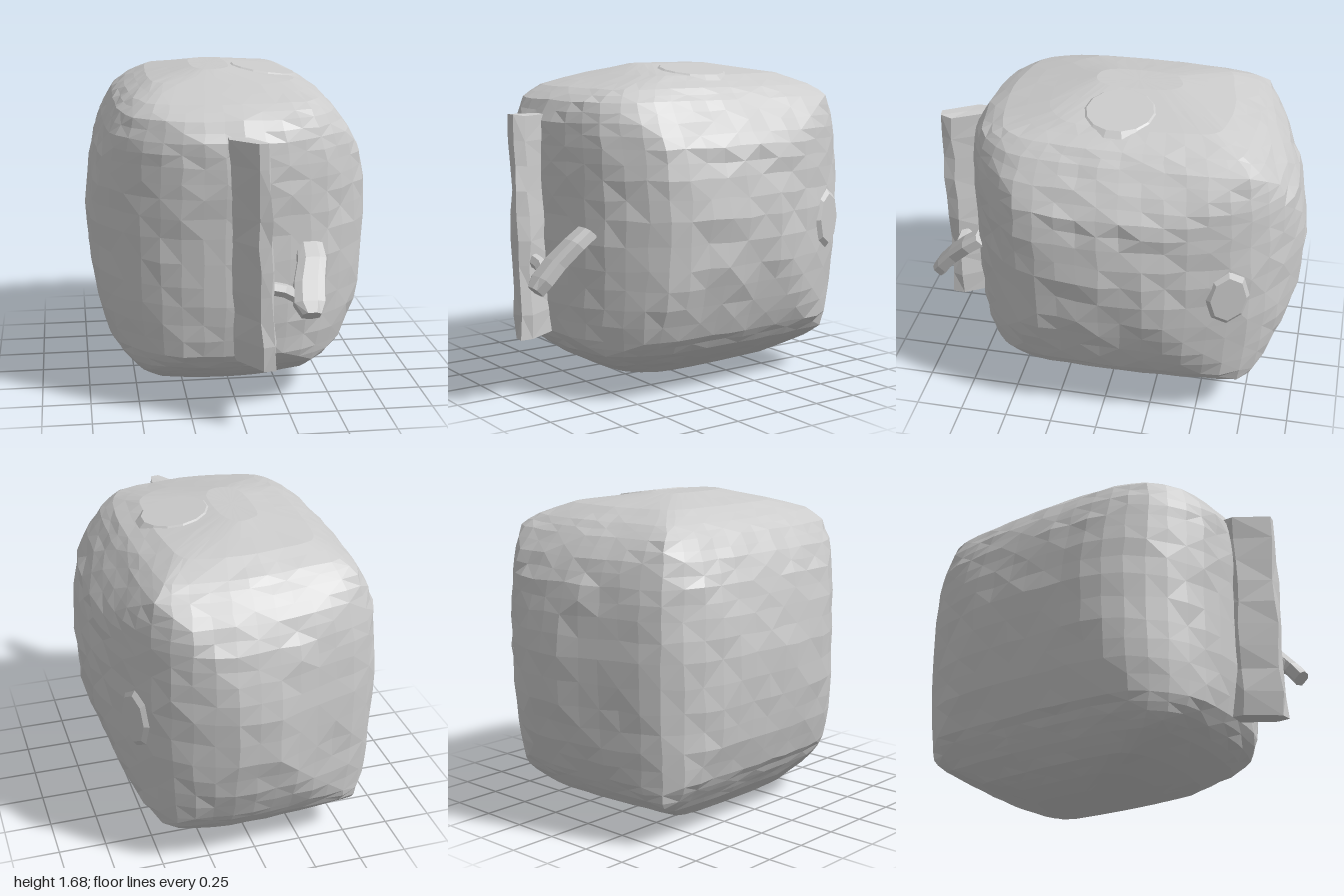
import * as THREE from 'three';

const material = new THREE.MeshStandardMaterial({ color: 0xcccccc, flatShading: true });
const { mapLinear, clamp, lerp, smoothstep } = THREE.MathUtils;

// Small repeatable noise in -1..1
const noise = (n) => {
  const s = Math.sin(n * 12.9898 + 4.1) * 43758.5453;
  return 2 * (s - Math.floor(s)) - 1;
};

// Skin a stack of closed rings of [x, y, z] and cap both ends
function loft(rings) {
  const n = rings[0].length, last = rings.length - 1;
  const pos = rings.flat(2), index = [];
  for (let i = 0; i < last; i++) {
    for (let j = 0; j < n; j++) {
      const k = (j + 1) % n;
      const a = i * n + j, b = i * n + k, c = a + n, d = b + n;
      if ((i + j) % 2) index.push(a, c, d, a, d, b);
      else index.push(a, c, b, b, c, d);
    }
  }
  for (const i of [0, last]) {
    const centre = pos.length / 3;
    for (let axis = 0; axis < 3; axis++) {
      pos.push(rings[i].reduce((sum, p) => sum + p[axis], 0) / n);
    }
    for (let j = 0; j < n; j++) {
      const a = i * n + j, b = i * n + (j + 1) % n;
      if (i === 0) index.push(centre, a, b);
      else index.push(centre, b, a);
    }
  }
  const geometry = new THREE.BufferGeometry();
  geometry.setAttribute('position', new THREE.Float32BufferAttribute(pos, 3));
  geometry.setIndex(index);
  geometry.computeVertexNormals();
  return geometry;
}

// How boxy the body is at outline point p and height y: fullest at the back corners
function fullness(p, y) {
  const back = smoothstep(-p.z, 0, 0.6), plusX = smoothstep(p.x, -0.3, 0.4);
  const lower = lerp(0.47, lerp(0.8, 0.7, plusX), back);
  const upper = lerp(0.42, lerp(0.52, 0.76, plusX), back);
  return lerp(lower, upper, smoothstep(y, 0.8, 1.4));
}

function bodyGeometry() {
  // Widest horizontal outline as [x, z], from the pointed back round past +x
  const outline = [
    [0.06, -1], [0.16, -0.99], [0.42, -0.87], [0.56, -0.73], [0.63, -0.57], [0.7, -0.35],
    [0.735, -0.08], [0.72, 0.2], [0.68, 0.42], [0.56, 0.56], [0.42, 0.68], [0.2, 0.76], [0, 0.79],
    [-0.18, 0.77], [-0.36, 0.72], [-0.52, 0.62], [-0.63, 0.49], [-0.7, 0.35], [-0.73, 0.15],
    [-0.735, -0.3], [-0.7, -0.52], [-0.64, -0.7], [-0.55, -0.81], [-0.3, -0.9], [-0.06, -0.98],
  ].map(([x, z]) => new THREE.Vector3(x, 0, z));
  const points = new THREE.CatmullRomCurve3(outline, true).getSpacedPoints(48).slice(0, 48);

  // Extents per level: y, xMin, xMax, zMin, zMax
  const levels = [
    [0.01, -0.27, -0.02, -0.34, 0.1], [0.05, -0.37, 0.2, -0.45, 0.28], [0.1, -0.46, 0.33, -0.58, 0.44],
    [0.18, -0.54, 0.45, -0.75, 0.59], [0.25, -0.59, 0.54, -0.81, 0.68], [0.33, -0.64, 0.6, -0.86, 0.74],
    [0.5, -0.69, 0.67, -0.93, 0.77], [0.7, -0.72, 0.72, -0.98, 0.78], [0.95, -0.735, 0.735, -1, 0.78],
    [1.15, -0.71, 0.71, -0.97, 0.785], [1.3, -0.685, 0.685, -0.935, 0.785], [1.42, -0.64, 0.615, -0.87, 0.77],
    [1.52, -0.58, 0.54, -0.79, 0.71], [1.58, -0.51, 0.48, -0.71, 0.6], [1.64, -0.4, 0.36, -0.58, 0.36],
    [1.69, -0.17, 0.03, -0.3, 0.15],
  ];
  const rings = [];
  const steps = (levels.length - 1) * 2;
  for (let s = 0; s <= steps; s++) {
    const lo = levels[Math.floor(s / 2)], hi = levels[Math.ceil(s / 2)];
    const [y, xMin, xMax, zMin, zMax] = lo.map((v, k) => (v + hi[k]) / 2);
    const size = (xMax - xMin) / 1.47;
    rings.push(points.map((p, j) => {
      const seed = s * 48 + j;
      // Between a shrunken outline and one cut off flat, so the corners stay full
      const full = Math.min(1, 1.3 * size) * fullness(p, y);
      let x = lerp(mapLinear(p.x, -0.735, 0.735, xMin, xMax), clamp(p.x, xMin, xMax), full);
      let z = lerp(mapLinear(p.z, -1, 0.79, zMin, zMax), clamp(p.z, zMin, zMax), full);
      // Rough panel on the +x side, slightly uneven elsewhere
      const rough = x > 0.5 && z > -0.4 && z < 0.22 && y > 0.45 && y < 1.38;
      x += noise(seed) * (rough ? 0.014 : 0.006) * size;
      z += noise(seed + 3333) * 0.006 * size;
      return [x, y + noise(seed + 7777) * 0.006 * size * size, z];
    }));
  }
  return loft(rings);
}

// Slanted upright plate, leaning slightly from bottom to top
function plateGeometry() {
  const section = [[0.02, 0.7], [0.13, 0.9], [0.12, 0.96], [0.06, 0.96], [-0.05, 0.8], [-0.05, 0.7]];
  const rings = [];
  for (let i = 0; i <= 9; i++) {
    const t = i / 9;
    rings.push(section.map(([x, z], j) => [
      x + 0.018 - 0.036 * t + noise(i * 6 + j) * 0.009,
      0.33 + 1.12 * t + (j === 2 || j === 3 ? 0.01 * t : 0),
      z + noise(i * 6 + j + 500) * 0.009,
    ]));
  }
  return loft(rings);
}

// Paddle rising from its free lower tip back to the body
function paddleGeometry() {
  const stations = [ // x, y, z, half width
    [0.31, 0.61, 0.965, 0.045], [0.305, 0.66, 0.93, 0.075], [0.315, 0.74, 0.86, 0.075],
    [0.345, 0.83, 0.77, 0.07], [0.345, 0.885, 0.69, 0.065],
  ];
  const section = [[1, -0.6], [1, 0.6], [0.5, 1], [-0.5, 1], [-1, 0.5], [-1, -0.6], [0, -1]];
  return loft(stations.map(([x, y, z, w]) =>
    section.map(([u, v]) => [x + u * w, y + v * 0.027, z + v * 0.03])));
}

export function createModel() {
  const model = new THREE.Group();
  const add = (name, geometry) => {
    const mesh = new THREE.Mesh(geometry, material);
    mesh.name = name;
    model.add(mesh);
    return mesh;
  };

  add('body', bodyGeometry());
  add('handlePlate', plateGeometry());
  add('leverPaddle', paddleGeometry());

  // Short arm joining plate and paddle
  const armPath = new THREE.CatmullRomCurve3([
    new THREE.Vector3(0.1, 0.73, 0.87),
    new THREE.Vector3(0.2, 0.71, 0.87),
    new THREE.Vector3(0.28, 0.67, 0.9),
  ]);
  add('leverArm', new THREE.TubeGeometry(armPath, 4, 0.035, 6));

  // Shallow round cap on the sloping top
  const cap = add('topCap', new THREE.CylinderGeometry(0.17, 0.21, 0.03, 14));
  cap.position.set(0.22, 1.652, -0.03);
  cap.rotation.z = -0.15;

  // Shallow upright boss towards the back of the +x side
  const bossShape = new THREE.CylinderGeometry(0.11, 0.135, 0.02, 8).rotateZ(-Math.PI / 2).scale(1, 1.2, 0.85);
  const boss = add('sideBoss', bossShape);
  boss.position.set(0.605, 0.87, -0.655);
  boss.rotation.y = 0.38;

  return model;
}
